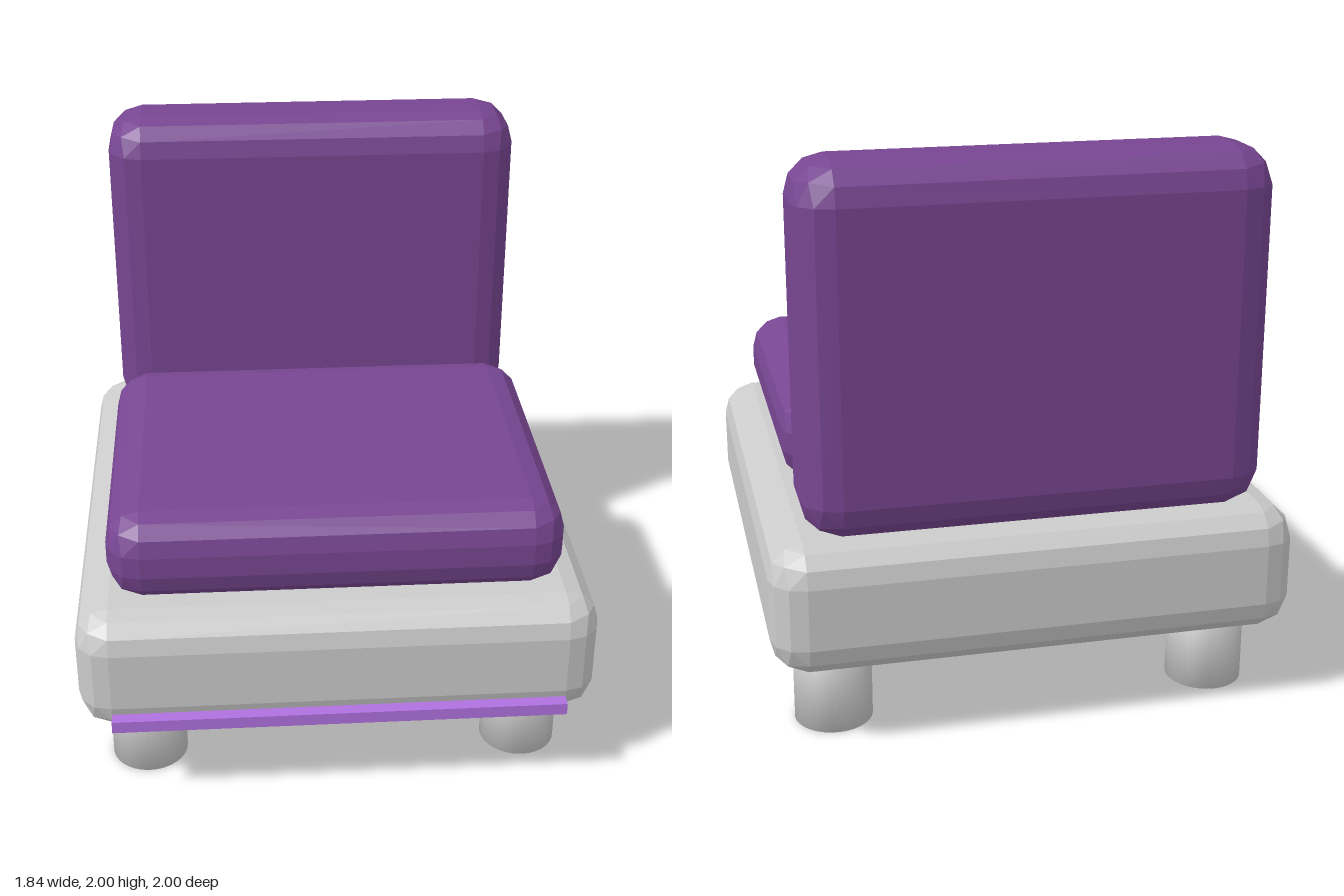
import * as THREE from 'three';
import { ConvexGeometry } from 'three/addons/geometries/ConvexGeometry.js';

const grey = new THREE.MeshStandardMaterial({ color: 0xcccccc });
const fabric = new THREE.MeshStandardMaterial({ color: 0x784692, flatShading: true });
const frameMat = new THREE.MeshStandardMaterial({ color: 0xcccccc, flatShading: true });
const trimMat = new THREE.MeshStandardMaterial({ color: 0xb070e0 });

// Box between two corners, edges rounded in three flat facets
function bevelledBox(min, max, radius) {
  const lo = new THREE.Vector3(...min), hi = new THREE.Vector3(...max);
  const half = hi.clone().sub(lo).multiplyScalar(0.5);
  const inner = half.clone().subScalar(radius);
  const s = (n) => Math.sin((n * Math.PI) / 6);
  const points = [];
  for (const sx of [-1, 1]) for (const sy of [-1, 1]) for (const sz of [-1, 1]) {
    for (let i = 0; i <= 3; i++) for (let j = 0; j <= 3 - i; j++) {
      const p = new THREE.Vector3(s(i), s(j), s(3 - i - j)).normalize().multiplyScalar(radius).add(inner);
      points.push(p.multiply(new THREE.Vector3(sx, sy, sz)));
    }
  }
  const centre = lo.add(hi).multiplyScalar(0.5);
  return new ConvexGeometry(points).translate(centre.x, centre.y, centre.z);
}

export function createModel() {
  const model = new THREE.Group();
  model.name = 'chair';
  const add = (name, geometry, material) => {
    const mesh = new THREE.Mesh(geometry, material);
    mesh.name = name;
    model.add(mesh);
    return mesh;
  };

  // Upholstered body
  add('base', bevelledBox([-0.92, 0.28, -1], [0.92, 0.74, 0.96], 0.12), frameMat);
  add('seatCushion', bevelledBox([-0.8, 0.74, -0.42], [0.8, 1.06, 0.845], 0.12), fabric);
  add('backCushion', bevelledBox([-0.8, 0.74, -0.96], [0.8, 2, -0.55], 0.13), fabric);

  // Thin trim strip along the lower front edge
  add('frontTrim', new THREE.BoxGeometry(1.6, 0.045, 0.045), trimMat).position.set(0, 0.35, 0.9775);

  // Four round legs, shaded softly over their rims
  const r = 0.138, h = 0.28;
  const profile = [[0, 0], [r, 0], [r, h], [0, h]].map(([x, y]) => new THREE.Vector2(x, y));
  const legGeometry = new THREE.LatheGeometry(profile, 32);
  for (const [side, x] of [['Left', 0.69], ['Right', -0.69]]) {
    for (const [end, z] of [['front', 0.677], ['back', -0.705]]) {
      add(`${end}${side}Leg`, legGeometry, grey).position.set(x, 0, z);
    }
  }
  return model;
}
